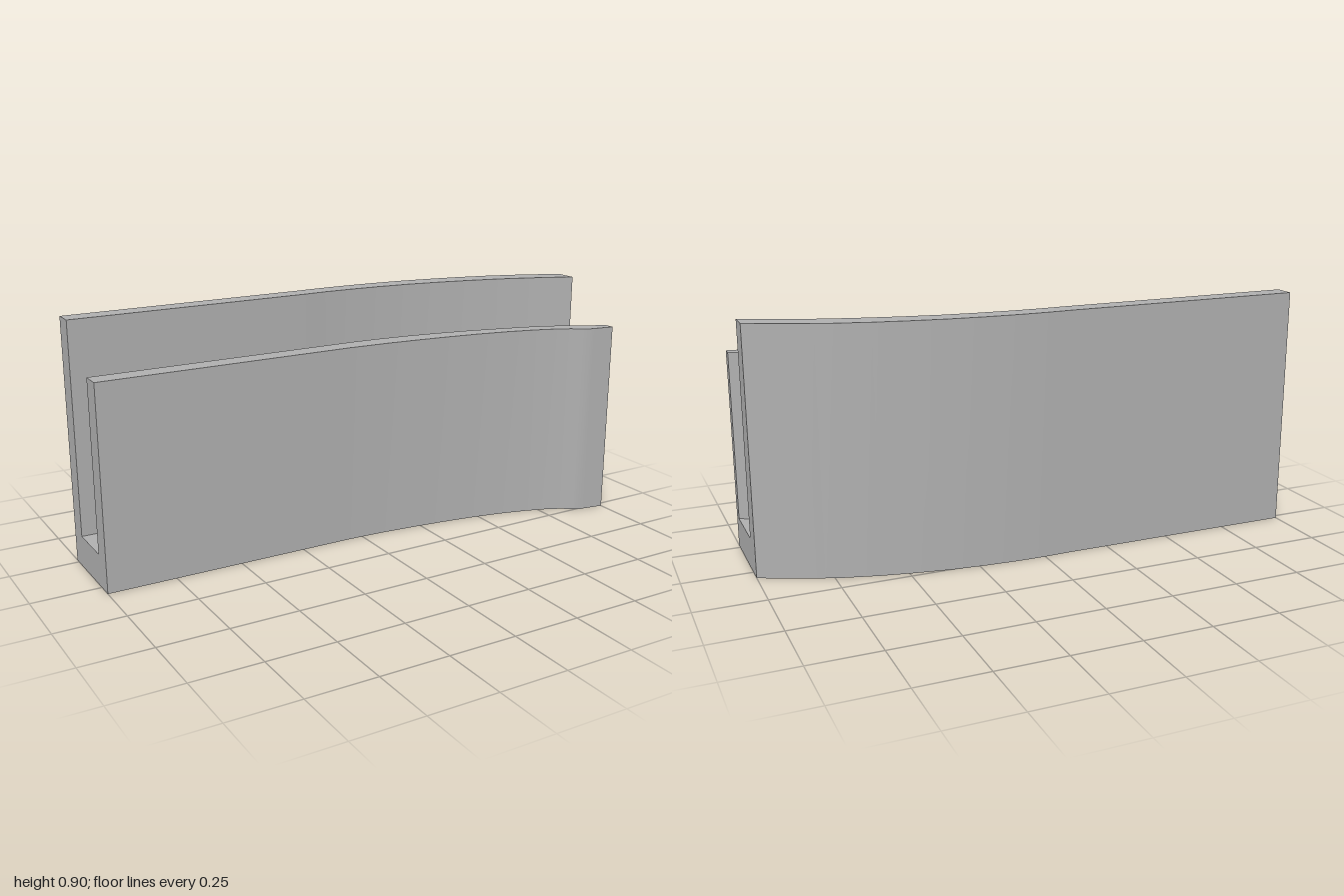
import * as THREE from 'three';
import { mergeGeometries } from 'three/addons/utils/BufferGeometryUtils.js';

// Plan outlines [x, z] of the four wall faces, left end to right end
const outlines = {
  backOuter: [[-1, -0.27], [-0.1, -0.27], [0, -0.273], [0.1, -0.272], [0.22, -0.265], [0.35, -0.252], [0.48, -0.23], [0.6, -0.205], [0.72, -0.172], [0.83, -0.133], [0.92, -0.094], [1, -0.055]],
  backInner: [[-1, -0.195], [-0.1, -0.195], [0, -0.198], [0.1, -0.195], [0.22, -0.187], [0.35, -0.172], [0.48, -0.148], [0.6, -0.12], [0.72, -0.087], [0.83, -0.048], [0.92, -0.012], [1, 0.025]],
  frontInner: [[-1, -0.015], [0, -0.015], [0.1, -0.01], [0.22, 0.001], [0.35, 0.02], [0.48, 0.045], [0.6, 0.075], [0.7, 0.101], [0.78, 0.128], [0.84, 0.153], [0.88, 0.18], [0.93, 0.203], [1, 0.235]],
  frontOuter: [[-1, 0.06], [-0.05, 0.06], [0.1, 0.068], [0.22, 0.079], [0.35, 0.094], [0.48, 0.113], [0.6, 0.137], [0.7, 0.163], [0.78, 0.19], [0.84, 0.218], [0.875, 0.246], [0.9, 0.257], [1, 0.273]],
};
const BACK_TOP = 0.897, FRONT_TOP = 0.74, FLOOR = 0.118;

// Linear interpolation along an outline
function zAt(line, x) {
  for (let i = 1; i < line.length; i++) {
    const [x0, z0] = line[i - 1], [x1, z1] = line[i];
    if (x <= x1) return z0 + (z1 - z0) * (x - x0) / (x1 - x0);
  }
  return line[line.length - 1][1];
}

const stations = [...new Set(Object.values(outlines).flat().map(p => p[0]))].sort((a, b) => a - b);

// Cross-section corners in order round the U: [outline, height]
const section = [
  ['backOuter', 0], ['backOuter', BACK_TOP], ['backInner', BACK_TOP], ['backInner', FLOOR],
  ['frontInner', FLOOR], ['frontInner', FRONT_TOP], ['frontOuter', FRONT_TOP], ['frontOuter', 0],
];
const corner = (i, x) => {
  const [name, y] = section[i];
  return [x, y, zAt(outlines[name], x)];
};

function surface(points, index) {
  const g = new THREE.BufferGeometry();
  g.setAttribute('position', new THREE.Float32BufferAttribute(points.flat(), 3));
  g.setIndex(index);
  g.computeVertexNormals();
  return g;
}

// One face of the section swept along x, smooth lengthwise
function strip(i) {
  const j = (i + 1) % section.length, points = [], index = [];
  stations.forEach((x, k) => {
    points.push(corner(i, x), corner(j, x));
    if (k === 0) return;
    const a = 2 * k - 2;
    index.push(a, a + 1, a + 2, a + 1, a + 3, a + 2);
  });
  return surface(points, index);
}

// Flat U-shaped end, triangulated from the same section
function endCap(x, side) {
  const points = section.map((_, i) => corner(i, x));
  const flat = points.map(p => new THREE.Vector2(p[2], p[1]));
  const index = [];
  for (const t of THREE.ShapeUtils.triangulateShape(flat, [])) {
    const [a, b, c] = t.map(n => flat[n]);
    const area = (b.x - a.x) * (c.y - a.y) - (b.y - a.y) * (c.x - a.x);
    // Positive area in (z, y) faces -x
    if (area * side < 0) index.push(...t);
    else index.push(t[0], t[2], t[1]);
  }
  return surface(points, index);
}

export function createModel() {
  const group = new THREE.Group();
  group.name = 'curvedChannel';
  const grey = new THREE.MeshStandardMaterial({ color: 0xb0b0b0 });
  grey.name = 'grey';

  const add = (name, parts) => {
    const mesh = new THREE.Mesh(mergeGeometries(parts), grey);
    mesh.name = name;
    group.add(mesh);
  };
  add('backWall', [0, 1, 2].map(strip));
  add('channelFloor', [strip(3)]);
  add('frontWall', [4, 5, 6].map(strip));
  add('underside', [strip(7)]);
  add('leftEnd', [endCap(1, 1)]);
  add('rightEnd', [endCap(-1, -1)]);
  return group;
}
